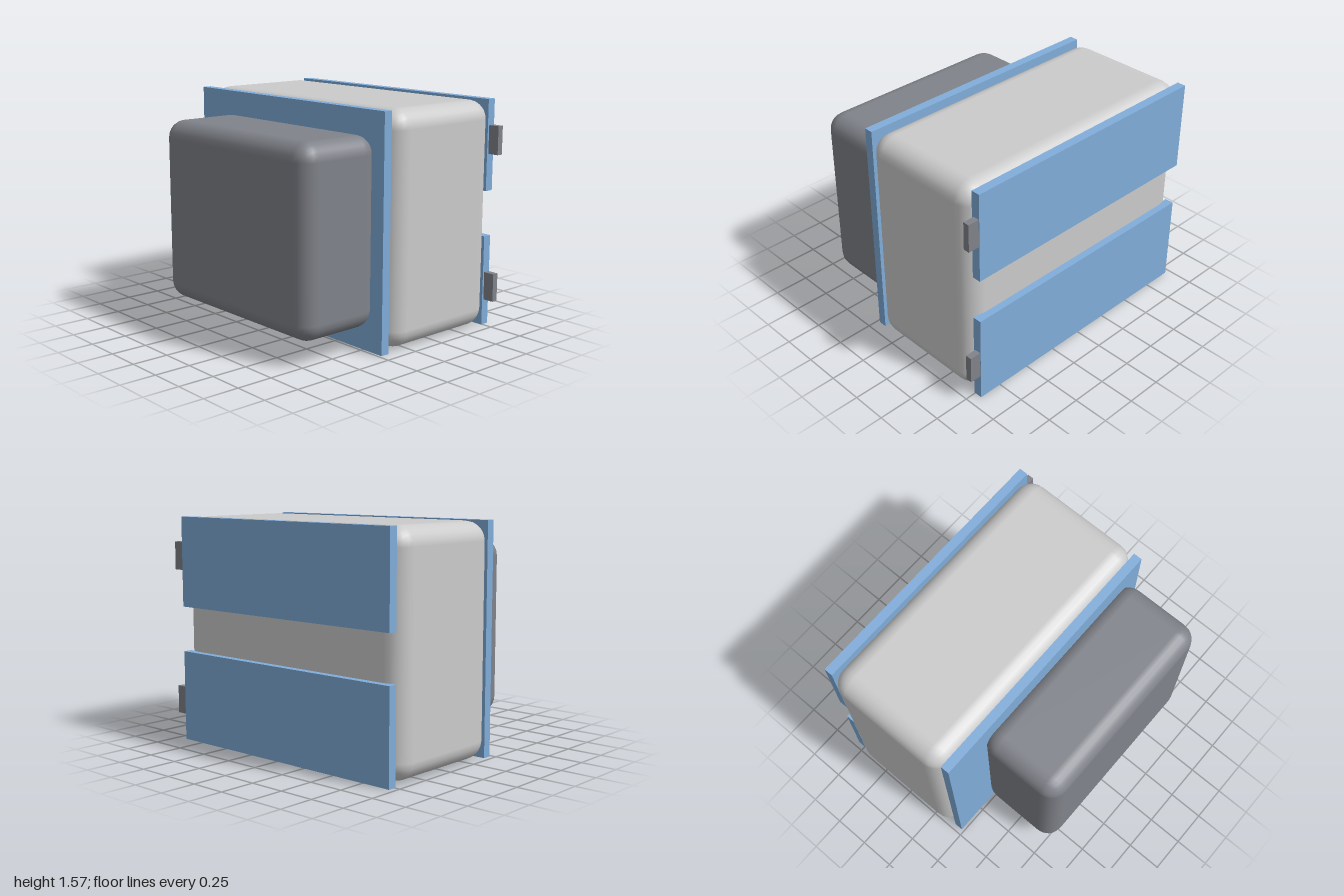
import * as THREE from 'three';
import { RoundedBoxGeometry } from 'three/addons/geometries/RoundedBoxGeometry.js';

const material = (color) => new THREE.MeshStandardMaterial({ color });

export function createModel() {
  const model = new THREE.Group();
  const grey = material(0xcccccc);
  const dark = material(0x80838a);
  const blue = material(0x81adda);

  // Adds a box spanning two corners; a radius rounds its edges
  function addBox(name, mat, [x0, y0, z0], [x1, y1, z1], radius = 0) {
    const size = [x1 - x0, y1 - y0, z1 - z0];
    const geometry = radius
      ? new RoundedBoxGeometry(...size, 3, radius)
      : new THREE.BoxGeometry(...size);
    const mesh = new THREE.Mesh(geometry, mat);
    mesh.name = name;
    mesh.position.set((x0 + x1) / 2, (y0 + y1) / 2, (z0 + z1) / 2);
    model.add(mesh);
  }

  // Rounded bodies
  addBox('mainBody', grey, [-0.17, 0.005, -1], [0.755, 1.57, 0.957], 0.13);
  addBox('rearBody', dark, [-0.808, 0.162, -0.65], [-0.19, 1.413, 0.84], 0.12);

  // Full-height panel between the two bodies
  addBox('dividerPanel', blue, [-0.23, 0, -0.962], [-0.168, 1.57, 0.92]);

  // Lower and upper outer panels, each with a tab on its front edge
  for (const [level, y0, y1, tabY] of [['lower', 0, 0.63, 0.18], ['upper', 0.945, 1.57, 1.2]]) {
    addBox(level + 'Panel', blue, [0.743, y0, -0.962], [0.805, y1, 0.92]);
    addBox(level + 'Tab', dark, [0.756, tabY, 0.918], [0.8, tabY + 0.195, 1]);
  }
  return model;
}
